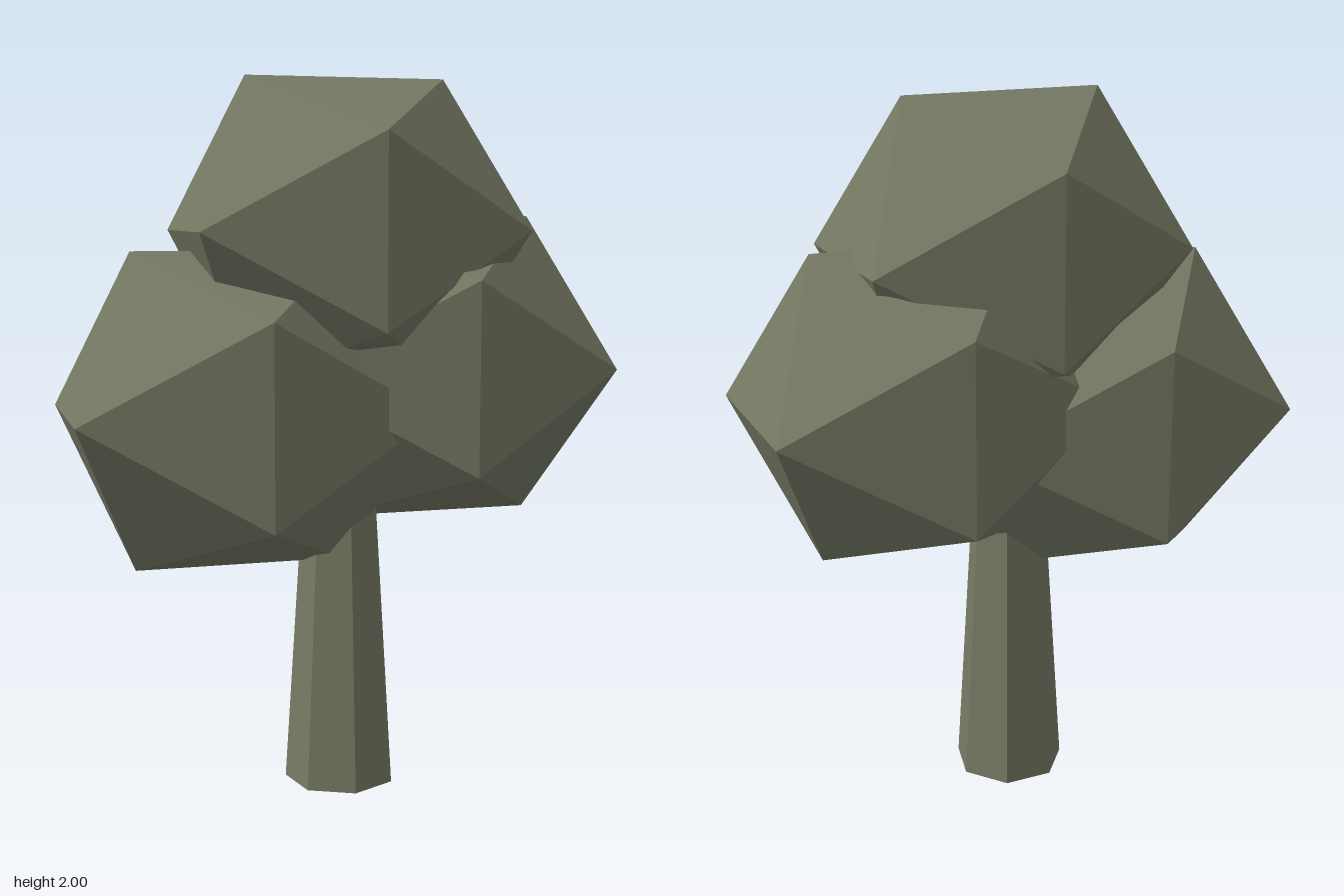
import * as THREE from 'three';

export function createModel() {
  const tree = new THREE.Group();
  tree.name = 'tree';
  const olive = new THREE.MeshStandardMaterial({ color: 0x767a64, flatShading: true });
  olive.name = 'olive green';

  // Tapered seven-sided trunk, its top hidden in the foliage
  const height = 1.0;
  const trunk = new THREE.Mesh(new THREE.CylinderGeometry(0.0975, 0.16, height, 7), olive);
  trunk.name = 'trunk';
  trunk.position.set(0.0125, height / 2, 0.005);
  tree.add(trunk);

  // Three overlapping faceted clumps, squashed in height and depth
  const clumps = [
    ['rightFoliage', 0.57, -0.277, 1.09, 0.002],
    ['leftFoliage', 0.552, 0.29, 1.195, -0.02],
    ['topFoliage', 0.538, 0.0225, 1.584, 0.02],
  ];
  for (const [name, radius, x, y, z] of clumps) {
    const clump = new THREE.Mesh(new THREE.IcosahedronGeometry(radius, 0), olive);
    clump.name = name;
    clump.scale.set(1, 0.908, 0.851);
    clump.position.set(x, y, z);
    tree.add(clump);
  }
  return tree;
}
